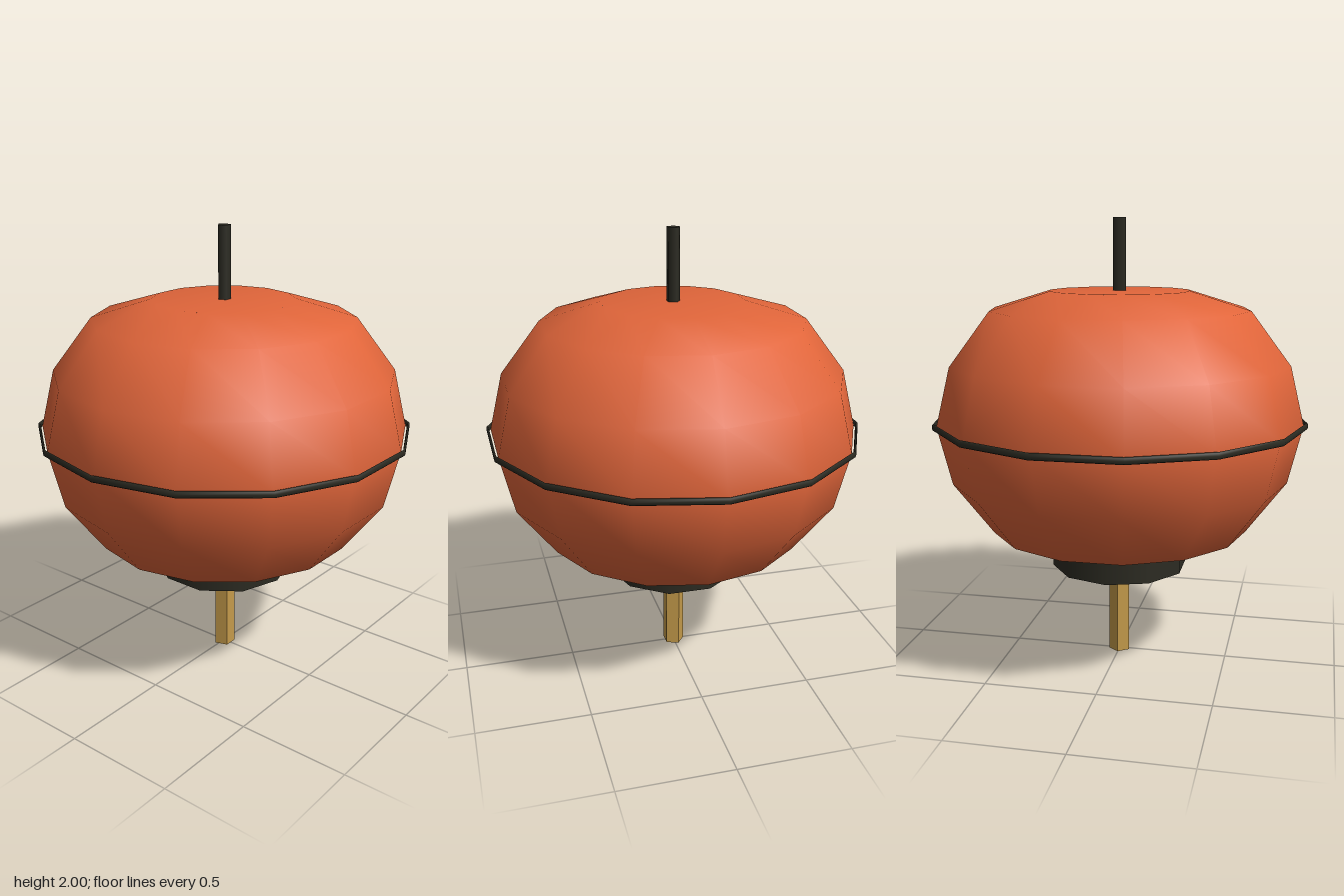
import * as THREE from 'three';

export function createModel() {
  const model = new THREE.Group();
  const paint = (name, color, flatShading = false) =>
    new THREE.MeshStandardMaterial({ name, color, flatShading });
  const orange = paint('orange paper', 0xe0653a);
  const dark = paint('dark wood', 0x2c2b22);
  const gold = paint('golden tassel', 0xc49a4a, true);

  const add = (name, geometry, material, y = 0) => {
    const mesh = new THREE.Mesh(geometry, material);
    mesh.name = name;
    mesh.position.y = y;
    model.add(mesh);
    return mesh;
  };
  // Upright prism from its lower to its upper end
  const prism = (name, radius, low, high, sides, material, turn = 0) => {
    const g = new THREE.CylinderGeometry(radius, radius, high - low, sides);
    add(name, g, material, (low + high) / 2).rotation.y = turn;
  };

  // Squashed round body with flat ends, fourteen sides
  const half = [[0, 0.577], [0.314, 0.577], [0.58, 0.495], [0.757, 0.26]];
  const profile = [
    ...half.map(([r, y]) => [r, -y]),
    [0.82, 0],
    ...half.slice().reverse(),
  ].map(([r, y]) => new THREE.Vector2(r, y));
  add('body', new THREE.LatheGeometry(profile, 14, Math.PI / 2), orange, 1.108);

  // Thin upright hoop standing just clear of the body
  const hoop = new THREE.TorusGeometry(0.833, 0.006, 8, 14);
  hoop.scale(1, 1, 2.5);
  hoop.rotateX(Math.PI / 2);
  add('hoop', hoop, dark, 1.108);

  // End caps, the upper one sunk into the body
  prism('bottomCap', 0.31, 0.425, 0.545, 10, dark);
  prism('topCap', 0.31, 1.58, 1.6845, 10, dark);

  // Five-sided hanging rod and tassel
  prism('hangingRod', 0.03, 1.65, 2, 5, dark, Math.PI);
  prism('tassel', 0.05, 0, 0.45, 5, gold, Math.PI);

  return model;
}
